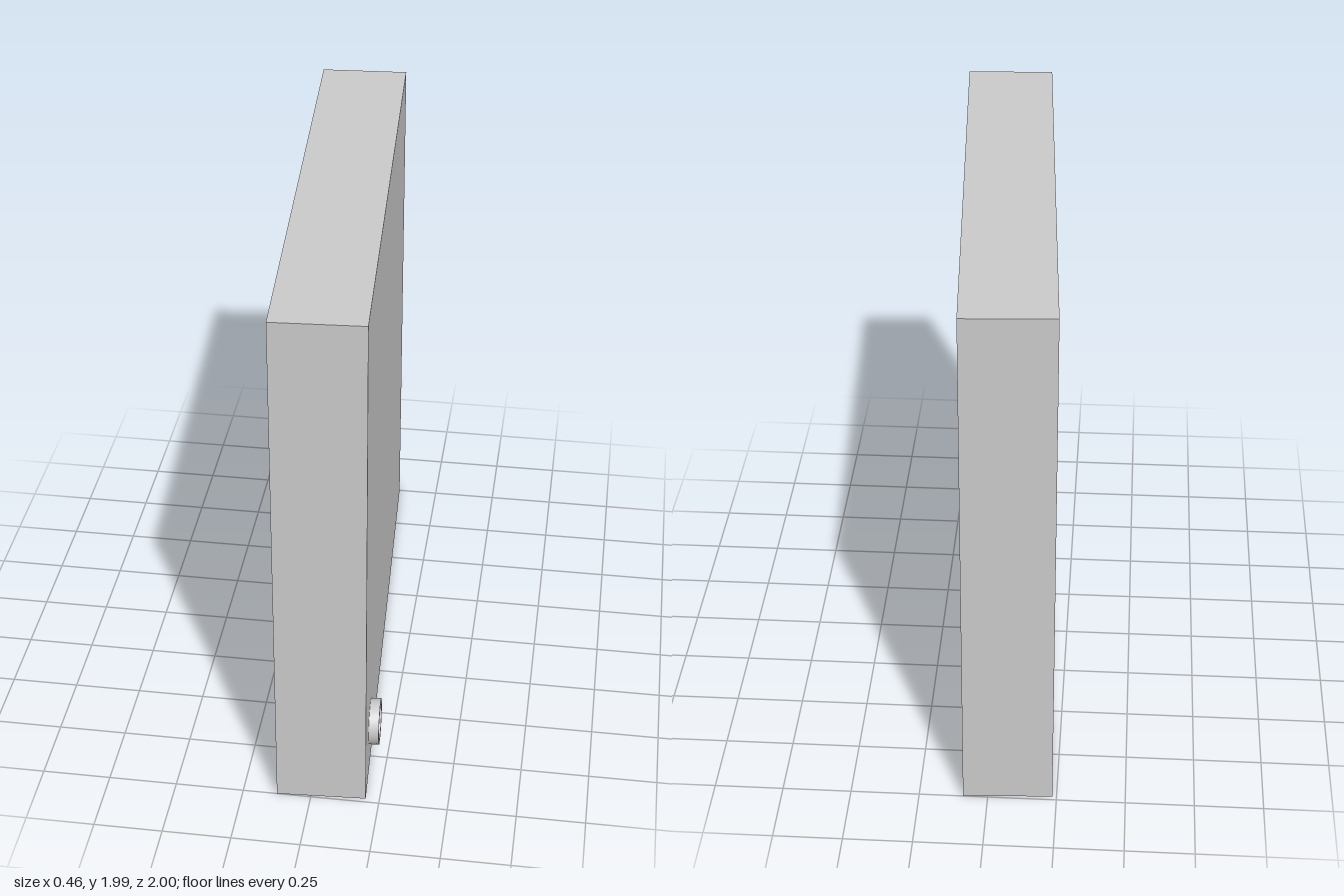
import * as THREE from 'three';
import { toCreasedNormals } from 'three/addons/utils/BufferGeometryUtils.js';

const material = new THREE.MeshStandardMaterial({ color: 0xcccccc });

function part(name, geometry) {
  const mesh = new THREE.Mesh(geometry, material);
  mesh.name = name;
  return mesh;
}

function rectangle(target, w, h) {
  target.moveTo(-w / 2, -h / 2);
  target.lineTo(w / 2, -h / 2);
  target.lineTo(w / 2, h / 2);
  target.lineTo(-w / 2, h / 2);
  target.closePath();
  return target;
}

export function createModel() {
  const length = 1.985, height = 1.99, thickness = 0.325;
  const wall = 0.046, panelDepth = 0.065;
  const faceX = thickness / 2;
  const panelBack = faceX - panelDepth;

  const tray = new THREE.Group();
  tray.name = 'tray';

  // Closed panel on the +x side
  const panel = part('panel', new THREE.BoxGeometry(panelDepth, height, length));
  panel.position.set(faceX - panelDepth / 2, height / 2, 0);
  tray.add(panel);

  // Four side walls around the cavity, open towards -x
  const outline = rectangle(new THREE.Shape(), length, height);
  outline.holes.push(rectangle(new THREE.Path(), length - 2 * wall, height - 2 * wall));
  const frameGeometry = new THREE.ExtrudeGeometry(outline, {
    depth: thickness - panelDepth, bevelEnabled: false,
  });
  frameGeometry.rotateY(-Math.PI / 2);
  const frame = part('frame', frameGeometry);
  frame.position.set(panelBack, height / 2, 0);
  tray.add(frame);

  // Round button with a raised rim and sunken centre
  const profile = [[0.085, 0], [0.085, 0.037], [0.066, 0.037], [0.066, 0.014], [0, 0.014]]
    .map(([r, y]) => new THREE.Vector2(r, y));
  const buttonGeometry = toCreasedNormals(new THREE.LatheGeometry(profile, 32), 0.6);
  buttonGeometry.rotateZ(-Math.PI / 2);
  const button = part('button', buttonGeometry);
  button.position.set(faceX, 0.188, 0.78);
  tray.add(button);

  // The whole tray is turned slightly about the vertical
  tray.rotation.y = 0.0553;
  tray.position.x = -0.0175;

  const model = new THREE.Group();
  model.name = 'model';
  model.add(tray);
  return model;
}
